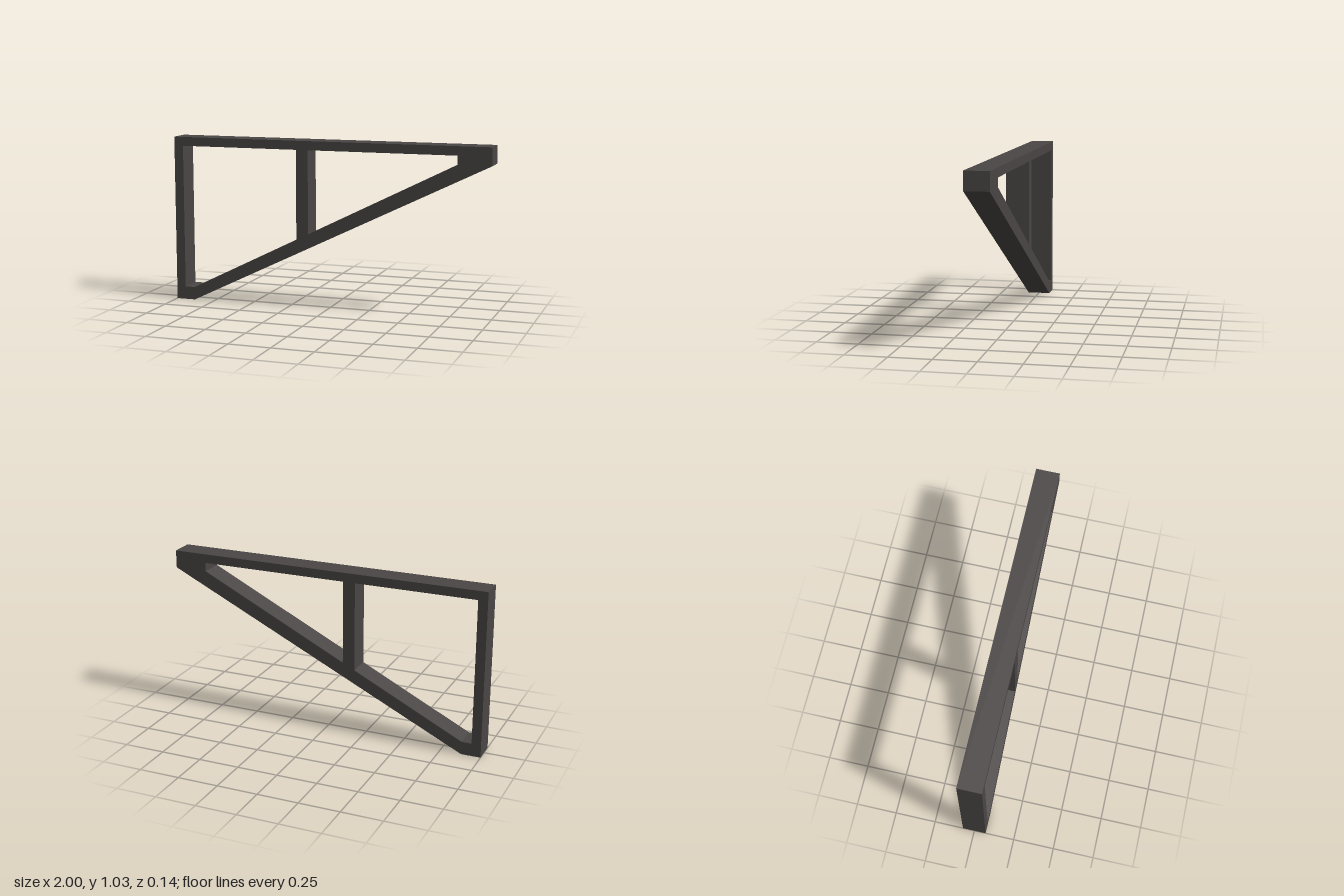
import * as THREE from 'three';

const DEPTH = 0.144;

// Flat plate of the bracket's thickness, centred on z = 0
function plate(name, material, outline, hole) {
  const toPoints = (list) => list.map(([x, y]) => new THREE.Vector2(x, y));
  const shape = new THREE.Shape(toPoints(outline));
  if (hole) shape.holes.push(new THREE.Path(toPoints(hole)));
  const geometry = new THREE.ExtrudeGeometry(shape, { depth: DEPTH, bevelEnabled: false });
  geometry.translate(0, 0, -DEPTH / 2);
  const mesh = new THREE.Mesh(geometry, material);
  mesh.name = name;
  return mesh;
}

export function createModel() {
  const group = new THREE.Group();
  group.name = 'shelfBracket';
  const darkMetal = new THREE.MeshStandardMaterial({ color: 0x4a4645 });
  darkMetal.name = 'darkMetal';

  // Inner edge of the sloping brace
  const slope = (0.917 - 0.08) / (0.796 + 0.88);
  const braceTop = (x) => 0.08 + (x + 0.88) * slope;

  // Wall leg, top arm and diagonal brace as one open frame
  group.add(plate('frame', darkMetal,
    [[-1, 0], [-0.88, 0], [1, 0.917], [1, 1.026], [-1, 1.026]],
    [[-0.942, 0.08], [-0.942, 0.971], [0.796, 0.971], [0.796, 0.917], [-0.88, 0.08]]));

  // Upright strut between the brace and the top arm
  const left = -0.195, right = -0.12;
  group.add(plate('strut', darkMetal,
    [[left, braceTop(left)], [right, braceTop(right)], [right, 0.971], [left, 0.971]]));

  return group;
}
